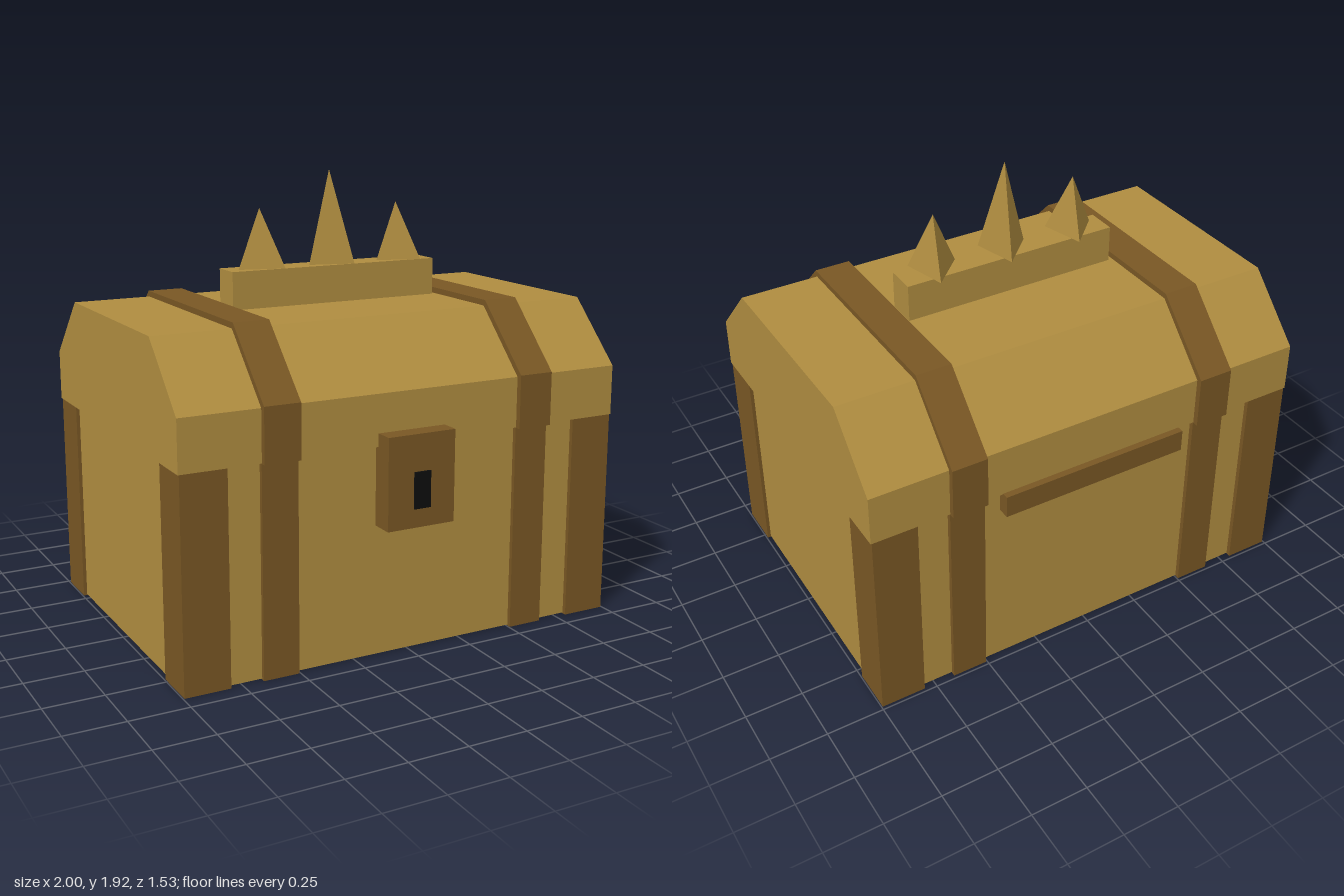
import * as THREE from 'three';

export function createModel() {
  const model = new THREE.Group();
  model.name = 'chest';

  const material = (name, color) => {
    const m = new THREE.MeshStandardMaterial({ color });
    m.name = name;
    return m;
  };
  const gold = material('gold', 0xb08d40);
  const brown = material('brown', 0x795724);
  const black = material('black', 0x0e0e0e);

  const add = (name, geometry, mat) => {
    const mesh = new THREE.Mesh(geometry, mat);
    mesh.name = name;
    model.add(mesh);
    return mesh;
  };

  // Box given by its limits on each axis
  const box = (name, mat, [x0, x1], [y0, y1], [z0, z1]) =>
    add(name, new THREE.BoxGeometry(x1 - x0, y1 - y0, z1 - z0), mat)
      .position.set((x0 + x1) / 2, (y0 + y1) / 2, (z0 + z1) / 2);

  // Profile of [z, y] points extruded along x
  const extrudeX = (name, mat, points, x0, x1) => {
    const shape = new THREE.Shape(points.map(([z, y]) => new THREE.Vector2(-z, y)));
    const geometry = new THREE.ExtrudeGeometry(shape, { depth: x1 - x0, bevelEnabled: false });
    geometry.rotateY(Math.PI / 2).translate(x0, 0, 0);
    add(name, geometry, mat);
  };

  // Body and chamfered lid
  box('body', gold, [-0.98, 0.98], [0.004, 0.89], [-0.715, 0.655]);
  extrudeX('lid', gold, [
    [0.675, 0.885], [0.675, 1.1], [0.415, 1.36],
    [-0.48, 1.36], [-0.737, 1.1], [-0.737, 0.885],
  ], -1, 1);

  // Corner posts and straps, mirrored left and right
  for (const s of [-1, 1]) {
    const span = (a, b) => (s > 0 ? [a, b] : [-b, -a]);
    box('frontPost', brown, span(0.8, 0.995), [0, 0.885], [0.475, 0.673]);
    box('backPost', brown, span(0.8, 0.995), [0, 0.885], [-0.735, -0.54]);
    box('bodyStrap', brown, span(0.505, 0.66), [0, 0.885], [-0.735, 0.673]);
    const [x0, x1] = span(0.505, 0.66);
    extrudeX('lidStrap', brown, [
      [0.7, 0.883], [0.7, 1.11], [0.425, 1.385],
      [-0.487, 1.385], [-0.762, 1.11], [-0.762, 0.883],
    ], x0, x1);
  }

  // Lock, keyhole and rear hinge bar
  box('lockPlate', brown, [-0.153, 0.153], [0.555, 0.94], [0.65, 0.755]);
  box('keyhole', black, [-0.037, 0.037], [0.635, 0.787], [0.757, 0.765]);
  box('hingeBar', brown, [-0.427, 0.424], [0.79, 0.888], [-0.766, -0.7]);

  // Crest with three-sided spikes
  box('crest', gold, [-0.485, 0.485], [1.355, 1.52], [-0.098, 0.035]);
  for (const [x, height] of [[-0.33, 0.25], [0, 0.4], [0.33, 0.25]]) {
    const cone = new THREE.ConeGeometry(0.115, height, 3).toNonIndexed();
    cone.computeVertexNormals();
    const spike = add('spike', cone, gold);
    spike.rotation.y = Math.PI / 4;
    spike.position.set(x, 1.522 + height / 2, -0.032);
  }

  return model;
}
